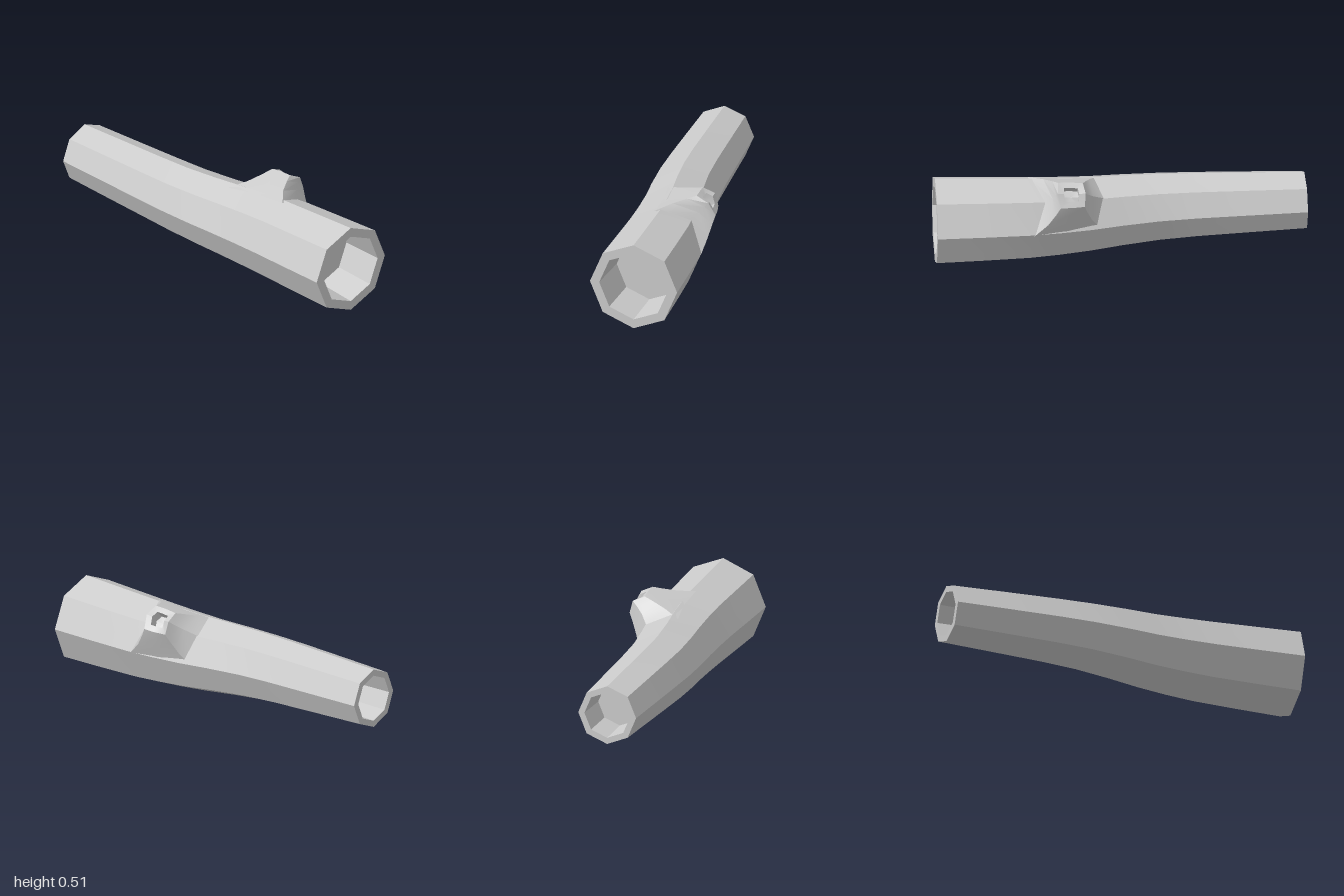
import * as THREE from 'three';
import { toCreasedNormals } from 'three/addons/utils/BufferGeometryUtils.js';

const V = (x, y, z) => new THREE.Vector3(x, y, z);

// Skin between rings of equal point count, skipping collapsed triangles
function loft(rings, name, crease) {
  const pos = [];
  const tri = (...p) => {
    if (p[0].distanceTo(p[1]) < 1e-6 || p[1].distanceTo(p[2]) < 1e-6 || p[2].distanceTo(p[0]) < 1e-6) return;
    p.forEach(v => pos.push(v.x, v.y, v.z));
  };
  for (let i = 0; i < rings.length - 1; i++) {
    const a = rings[i], b = rings[i + 1], n = a.length;
    for (let j = 0; j < n; j++) {
      const k = (j + 1) % n;
      tri(a[j], b[j], a[k]);
      tri(a[k], b[j], b[k]);
    }
  }
  const geo = new THREE.BufferGeometry();
  geo.setAttribute('position', new THREE.Float32BufferAttribute(pos, 3));
  const mesh = new THREE.Mesh(toCreasedNormals(geo, crease),
    new THREE.MeshStandardMaterial({ color: 0xcccccc }));
  mesh.name = name;
  return mesh;
}

// Octagon facing z, optionally leaning with x
function octagon(cx, cy, z, r, lean = 0) {
  return Array.from({ length: 8 }, (_, i) => {
    const a = i * Math.PI / 4, dx = r * Math.cos(a);
    return V(cx + dx, cy + r * Math.sin(a), z + lean * dx);
  });
}

function createTrunk() {
  // centre x, centre y, z, radius
  const stations = [
    [0.022, 0.247, 1, 0.245], [0.015, 0.243, 0.75, 0.238], [0.007, 0.24, 0.5, 0.23],
    [-0.006, 0.239, 0.34, 0.222], [-0.026, 0.239, 0.17, 0.212], [-0.053, 0.242, 0, 0.202],
    [-0.077, 0.245, -0.2, 0.191], [-0.088, 0.247, -0.4, 0.183], [-0.098, 0.247, -0.7, 0.173],
  ];
  return loft([
    octagon(0.031, 0.247, 0.75, 0),
    octagon(0.031, 0.247, 0.75, 0.184),
    octagon(0.022, 0.247, 1, 0.193),
    ...stations.map(s => octagon(...s)),
    octagon(-0.107, 0.247, -0.99, 0.163, -0.06),
    octagon(-0.107, 0.247, -0.99, 0.128, -0.06),
    octagon(-0.1, 0.247, -0.79, 0.122, -0.06),
    octagon(-0.1, 0.247, -0.79, 0),
  ], 'trunk', 0.5);
}

function createBranch() {
  // From the upper front corner, down the front and around
  const base = [
    V(-0.02, 0.467, 0.5), V(0.155, 0.4, 0.42), V(0.233, 0.232, 0.48), V(0.2, 0.23, 0.3),
    V(0.15, 0.225, 0.11), V(0.106, 0.388, 0.1), V(-0.07, 0.435, 0.12), V(-0.03, 0.45, 0.3),
  ];
  const tip = [
    V(0.168, 0.516, 0.35), V(0.235, 0.483, 0.355), V(0.27, 0.412, 0.34), V(0.262, 0.408, 0.28),
    V(0.245, 0.405, 0.21), V(0.225, 0.475, 0.205), V(0.16, 0.505, 0.215), V(0.165, 0.514, 0.28),
  ];
  // Flare that narrows quickly above the base
  const flare = (t, pinch) => base.map((p, i) => {
    const q = p.clone().lerp(tip[i], t);
    q.z += (0.28 - q.z) * pinch;
    return q;
  });
  const centre = V(0.22, 0.468, 0.28);
  const hole = tip.map(p => p.clone().lerp(centre, 0.45));
  const floor = hole.map(p => p.clone().add(V(-0.035, -0.035, 0)));
  const middle = centre.clone().add(V(-0.035, -0.035, 0));
  return loft([floor.map(() => middle), floor, hole, tip, flare(0.75, 0.1), flare(0.4, 0.12), base],
    'branchStub', 0.55);
}

export function createModel() {
  const group = new THREE.Group();
  group.name = 'hollowLog';
  group.add(createTrunk(), createBranch());
  return group;
}
